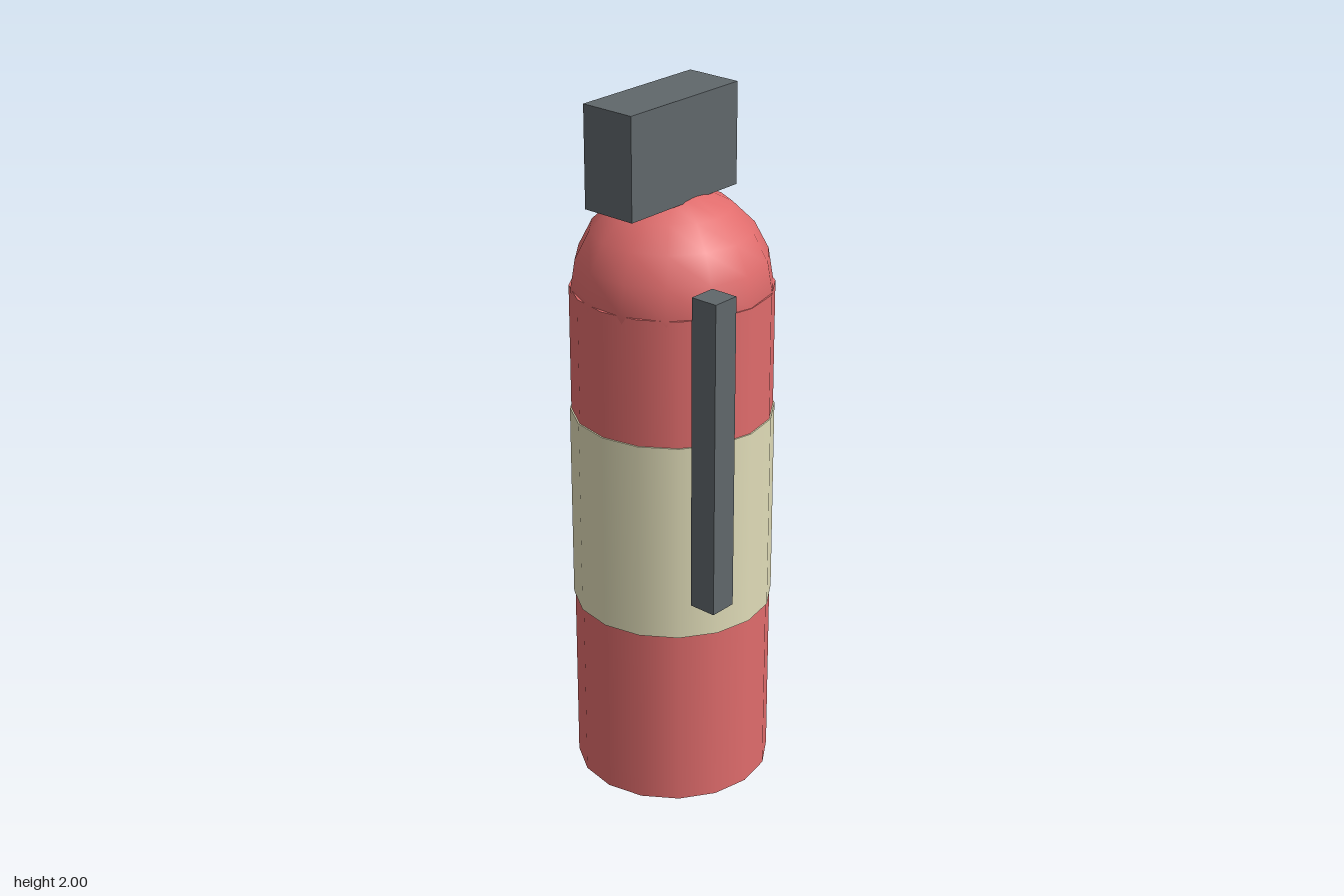
import * as THREE from 'three';

export function createModel() {
  const group = new THREE.Group();
  const paint = (name, color) => {
    const m = new THREE.MeshStandardMaterial({ color });
    m.name = name;
    return m;
  };
  const red = paint('red', 0xe06c6c);
  const cream = paint('cream', 0xe0dcb8);
  const grey = paint('grey', 0x60676b);

  const add = (name, geometry, material, x, y, z) => {
    const mesh = new THREE.Mesh(geometry, material);
    mesh.name = name;
    mesh.position.set(x, y, z);
    group.add(mesh);
  };

  const axis = -0.023; // the tank stands slightly off centre to make room for the hose
  const radius = 0.277;

  // Tank with rounded shoulder
  add('tank', new THREE.CylinderGeometry(radius, radius, 1.467, 16), red, axis, 0.7335, 0);
  add('dome', new THREE.SphereGeometry(0.275, 14, 10), red, axis, 1.465, 0);

  // Label band wrapped around the tank
  add('label', new THREE.CylinderGeometry(0.281, 0.281, 0.575, 16), cream, axis, 0.82, 0);

  // Valve head on top and hose at the side
  add('valveHead', new THREE.BoxGeometry(0.163, 0.28, 0.41), grey, axis, 1.86, 0.04);
  add('hose', new THREE.BoxGeometry(0.08, 0.895, 0.08), grey, 0.263, 1.103, 0.163);

  return group;
}
